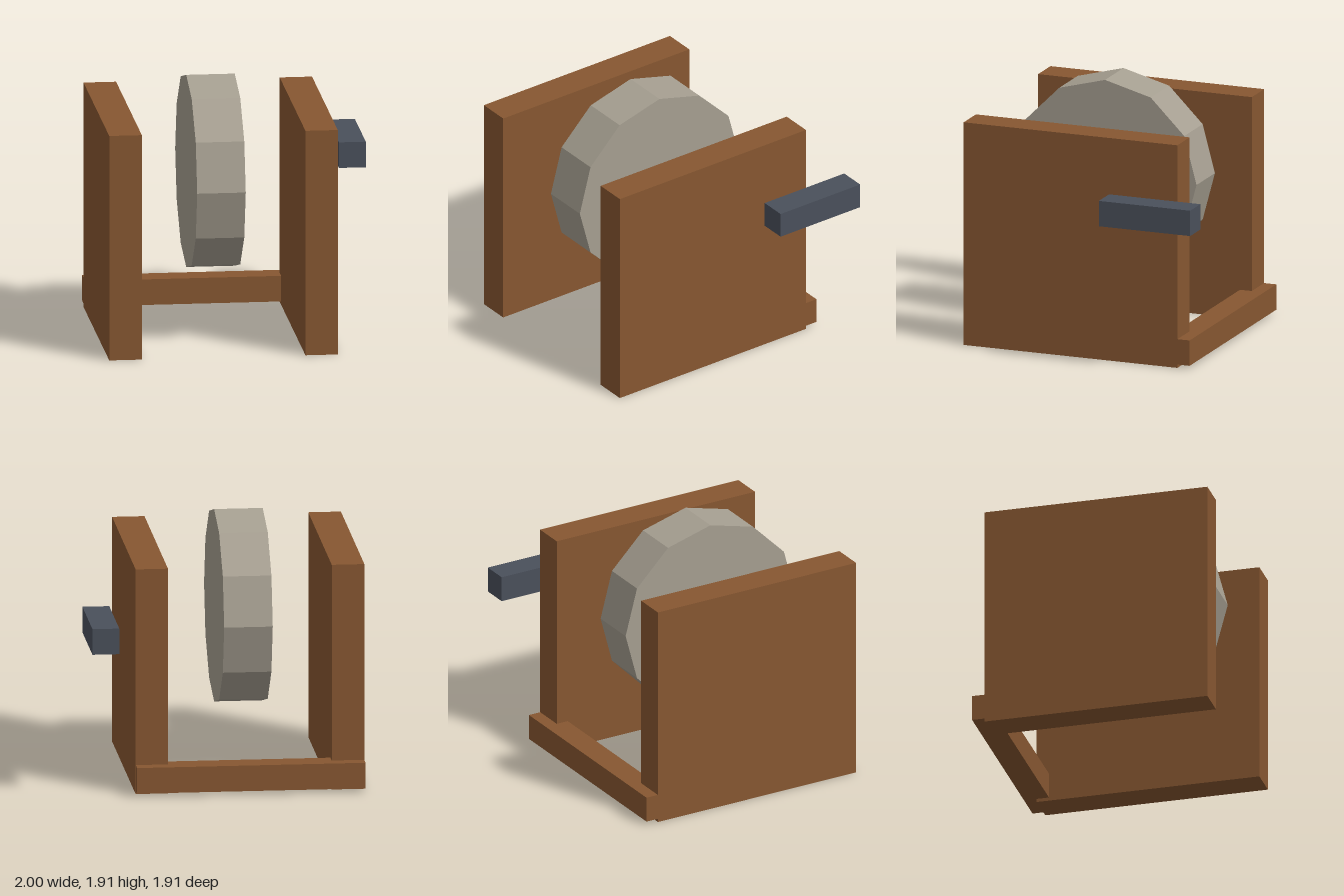
import * as THREE from 'three';

export function createModel() {
  const model = new THREE.Group();
  model.name = 'grindstone';

  const material = (name, color) => {
    const m = new THREE.MeshStandardMaterial({ color, flatShading: true });
    m.name = name;
    return m;
  };
  const wood = material('brown wood', 0x875731);
  const stone = material('grey stone', 0xa69f91);
  const iron = material('dark iron', 0x4a505b);

  // Adds a box spanning the given [min, max] ranges
  const addBox = (name, mat, x, y, z) => {
    const mesh = new THREE.Mesh(
      new THREE.BoxGeometry(x[1] - x[0], y[1] - y[0], z[1] - z[0]), mat);
    mesh.position.set((x[0] + x[1]) / 2, (y[0] + y[1]) / 2, (z[0] + z[1]) / 2);
    mesh.name = name;
    model.add(mesh);
  };

  // Side panels and the rail that joins them at the back
  addBox('rightPanel', wood, [-1, -0.763], [0, 1.668], [-0.715, 0.953]);
  addBox('leftPanel', wood, [0.427, 0.662], [0, 1.668], [-0.715, 0.953]);
  addBox('backRail', wood, [-0.999, 0.661], [0.025, 0.215], [-0.81, -0.623]);

  // Crank handle
  addBox('crankHandle', iron, [0.805, 1], [1.098, 1.288], [-0.953, -0.24]);

  // Twelve-sided wheel on a sideways axis, one corner pointing up
  const wheelGeometry = new THREE.CylinderGeometry(0.714, 0.714, 0.353, 12);
  wheelGeometry.rotateZ(Math.PI / 2);
  const wheel = new THREE.Mesh(wheelGeometry, stone);
  wheel.name = 'stoneWheel';
  wheel.position.set(-0.17, 1.192, 0.117);
  model.add(wheel);

  return model;
}
